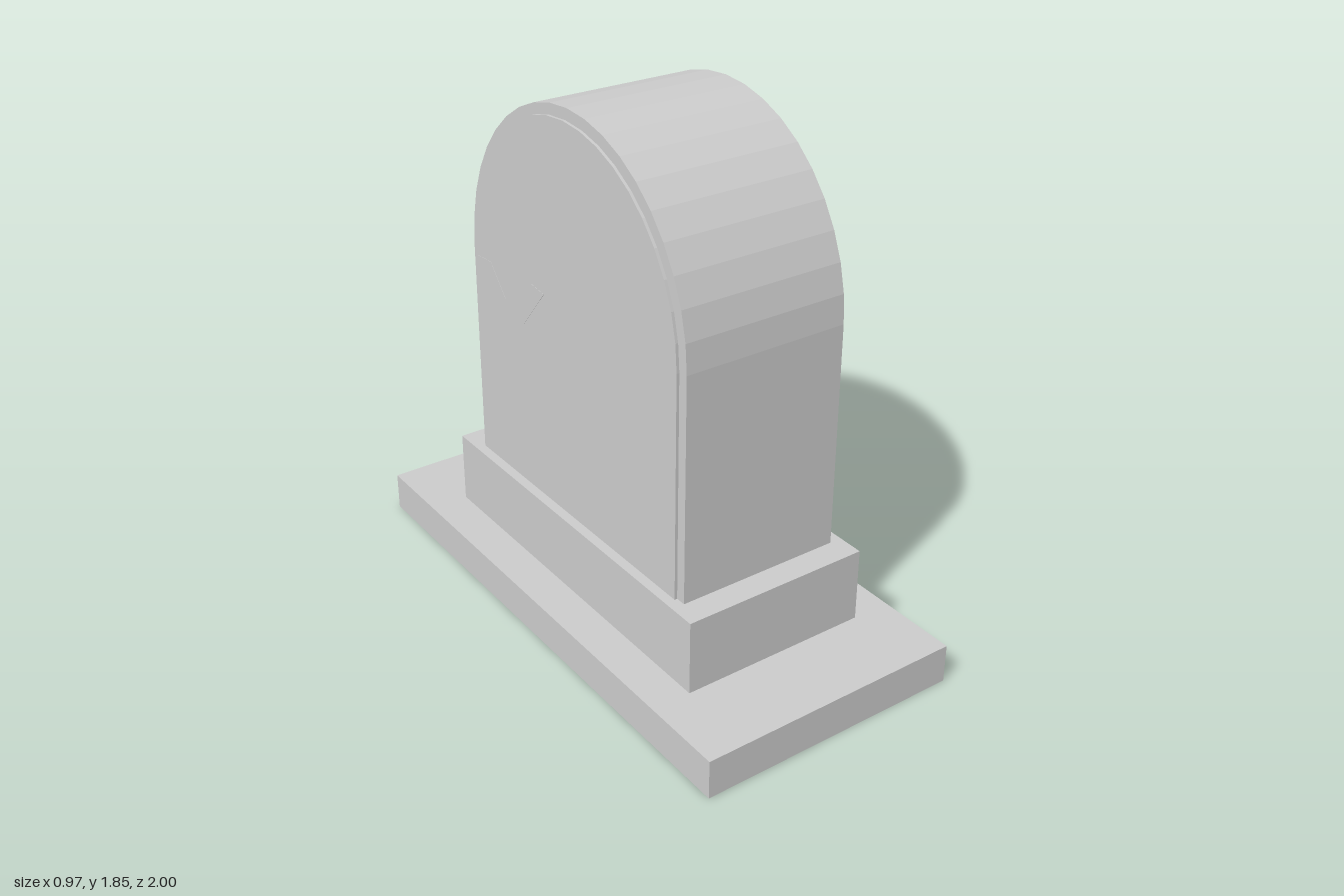
import * as THREE from 'three';

const material = new THREE.MeshStandardMaterial({ color: 0xcccccc, flatShading: true });

// Straight-sided outline in (z, y) with an elliptical arch on top
function archPoints(centerZ, halfWidth, bottom, spring, top, segments = 20) {
  const points = [new THREE.Vector2(centerZ - halfWidth, bottom), new THREE.Vector2(centerZ + halfWidth, bottom)];
  for (let i = 0; i <= segments; i++) {
    const a = (i / segments) * Math.PI;
    points.push(new THREE.Vector2(centerZ + halfWidth * Math.cos(a), spring + (top - spring) * Math.sin(a)));
  }
  return points;
}

// Slab of a (z, y) outline, centred on x = 0 and running across the width
function slab(name, points, width, x = 0) {
  const geometry = new THREE.ExtrudeGeometry(new THREE.Shape(points), { depth: width, bevelEnabled: false });
  geometry.translate(0, 0, -width / 2);
  geometry.rotateY(-Math.PI / 2);
  const mesh = new THREE.Mesh(geometry, material);
  mesh.name = name;
  mesh.position.x = x;
  return mesh;
}

function block(name, width, depth, bottom, top) {
  const mesh = new THREE.Mesh(new THREE.BoxGeometry(width, top - bottom, depth), material);
  mesh.name = name;
  mesh.position.y = (bottom + top) / 2;
  return mesh;
}

export function createModel() {
  const group = new THREE.Group();
  group.name = 'archedStone';

  // Stepped base
  group.add(block('baseSlab', 0.97, 2, 0, 0.14));
  group.add(block('plinth', 0.69, 1.42, 0.14, 0.405));

  // Arched stone and the slightly raised panels on its two broad faces
  group.add(slab('stoneBody', archPoints(0, 0.616, 0.405, 1.205, 1.845), 0.6));
  for (const side of [1, -1]) {
    const panel = archPoints(-0.01, 0.59, 0.405, 1.2, 1.805);
    group.add(slab(side > 0 ? 'leftPanel' : 'rightPanel', panel, 0.01, side * 0.305));
  }

  // Small shallow chips on the panels: side, then (z, y) corners
  const chips = [
    [1, [[0.56, 1.27], [0.43, 1.215], [0.4, 1.172], [0.51, 1.215]]],
    [1, [[0.51, 1.215], [0.4, 1.172], [0.37, 1.13], [0.47, 1.17]]],
    [-1, [[-0.575, 1.17], [-0.49, 1.175], [-0.4, 1.07], [-0.54, 1.115]]],
    [-1, [[-0.35, 1.05], [-0.23, 1.19], [-0.15, 1.18], [-0.28, 1.025]]],
  ];
  for (const [side, corners] of chips) {
    const points = corners.map(([z, y]) => new THREE.Vector2(z, y));
    group.add(slab('chip', points, 0.002, side * 0.31));
  }
  return group;
}
